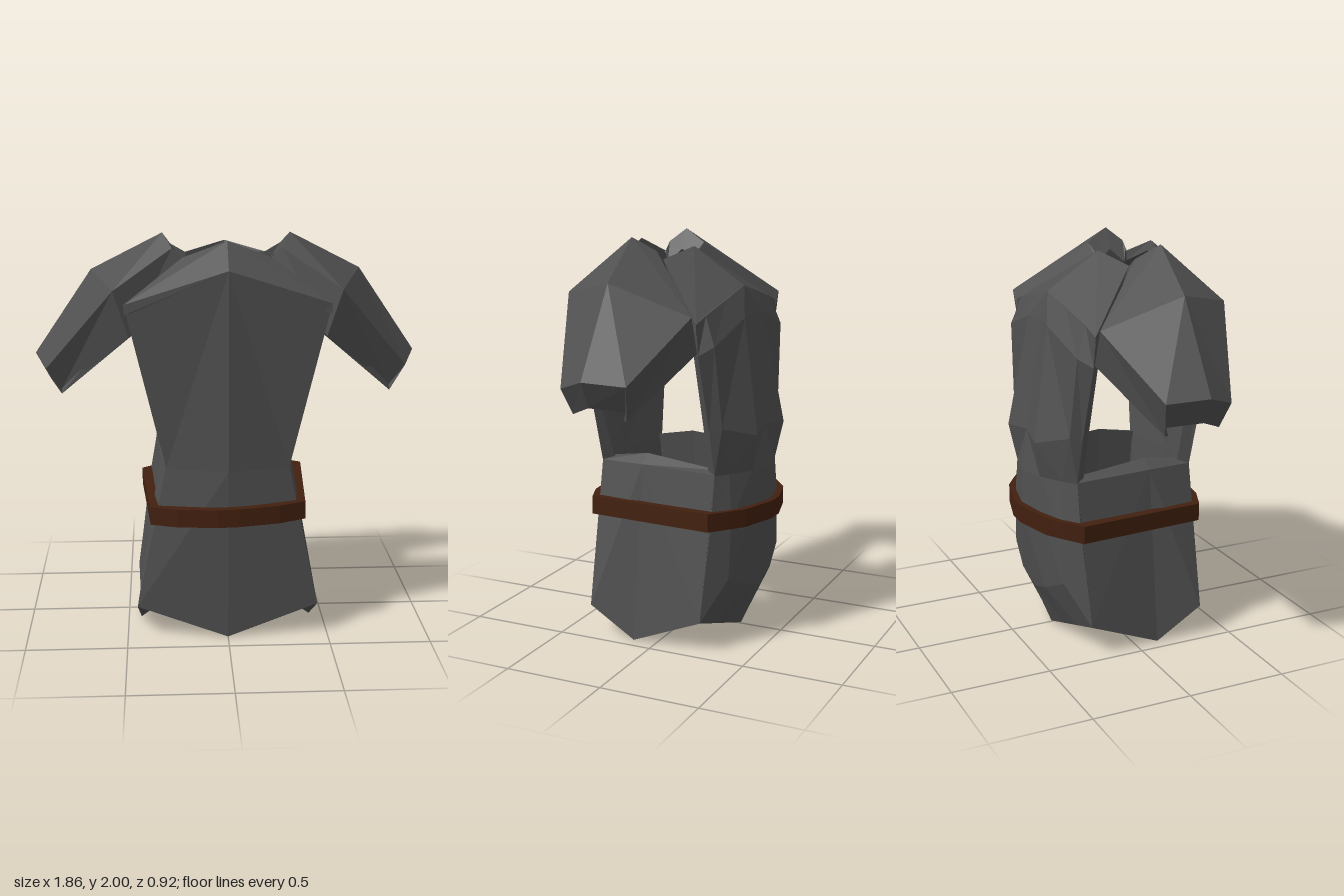
import * as THREE from 'three';

const steel = new THREE.MeshStandardMaterial({ color: 0x505050, flatShading: true, side: THREE.DoubleSide });
const leather = new THREE.MeshStandardMaterial({ color: 0x42200f, flatShading: true });

// Closed plate: a grid of outer points, an inner grid made by a rule, and a rim joining them.
// Rows run top to bottom and columns left to right as seen from outside.
function plate(name, outer, inset) {
  const inner = outer.map((row, i) => row.map((p, j) => inset(p, i, j)));
  const pos = [];
  const quad = (a, b, c, d, flip) => {
    const tris = flip ? [a, b, d, b, c, d] : [a, b, c, a, c, d];
    tris.forEach((p) => pos.push(...p));
  };
  const R = outer.length - 1, C = outer[0].length - 1;
  for (let i = 0; i < R; i++) {
    for (let j = 0; j < C; j++) {
      const flip = j < C / 2;
      quad(outer[i][j], outer[i + 1][j], outer[i + 1][j + 1], outer[i][j + 1], flip);
      quad(inner[i][j + 1], inner[i + 1][j + 1], inner[i + 1][j], inner[i][j], flip);
    }
  }
  // Walk round the border for the rim
  const border = [];
  for (let j = 0; j < C; j++) border.push([0, j]);
  for (let i = 0; i < R; i++) border.push([i, C]);
  for (let j = C; j > 0; j--) border.push([R, j]);
  for (let i = R; i > 0; i--) border.push([i, 0]);
  border.forEach(([i, j], k) => {
    const [m, n] = border[(k + 1) % border.length];
    quad(outer[i][j], outer[m][n], inner[m][n], inner[i][j]);
  });
  const geo = new THREE.BufferGeometry();
  geo.setAttribute('position', new THREE.Float32BufferAttribute(pos, 3));
  geo.computeVertexNormals();
  const mesh = new THREE.Mesh(geo, steel);
  mesh.name = name;
  return mesh;
}

// Full rows from half rows listed centre to +x edge; dir -1 for plates facing back
const mirrorRows = (rows, dir) => rows.map((half) => {
  const left = half.slice(1).reverse().map(([x, y, z]) => [-x, y, z]);
  const row = [...left, ...half];
  return dir < 0 ? row.reverse() : row;
});

export function createModel() {
  const group = new THREE.Group();

  // Breastplate with a shallow centre ridge and narrow waist
  const front = [
    [[0, 1.85, 0.43], [0.49, 1.69, 0.39]],
    [[0, 0.88, 0.43], [0.3, 0.88, 0.355]],
    [[0, 0.005, 0.39], [0.45, 0.16, 0.355]],
  ];
  group.add(plate('breastplate', mirrorRows(front, 1),
    ([x, y, z], i, j) => [x * 0.88, y + (i === 2 && j === 1 ? 0.06 : 0), z - 0.05]));

  // Backplate with two shoulder blade bulges, spine groove and flared seat
  const back = [
    [[0, 1.76, -0.28], [0.2, 1.71, -0.27], [0.4, 1.66, -0.257], [0.49, 1.63, -0.25]],
    [[0, 1.62, -0.315], [0.12, 1.62, -0.335], [0.42, 1.52, -0.31], [0.47, 1.48, -0.25]],
    [[0, 1.08, -0.4], [0.175, 1.06, -0.43], [0.36, 1.12, -0.325], [0.385, 1.1, -0.27]],
    [[0, 0.87, -0.43], [0.15, 0.875, -0.395], [0.28, 0.88, -0.33], [0.345, 0.88, -0.28]],
    [[0, 0.65, -0.435], [0.17, 0.65, -0.4], [0.3, 0.65, -0.35], [0.385, 0.65, -0.28]],
    [[0, 0.23, -0.37], [0.15, 0.28, -0.375], [0.32, 0.36, -0.345], [0.425, 0.34, -0.26]],
    [[0, 0.01, -0.28], [0.15, 0.06, -0.27], [0.3, 0.11, -0.26], [0.45, 0.16, -0.25]],
  ];
  group.add(plate('backplate', mirrorRows(back, -1),
    ([x, y, z], i) => [x * 0.88, y + (i === 6 ? 0.06 * (1 - Math.abs(x) / 0.45) : 0), Math.max(z + 0.05, -0.34)]));

  // Sloping collar plates between the chest, the neck opening and the back
  const thin = ([x, y, z]) => [x, y - 0.05, x === 0 ? 0.12 + (z - 0.12) * 0.88 : z];
  const collarFront = [
    [[0, 1.97, 0.28], [0.21, 1.89, 0.25]],
    [[0, 1.85, 0.43], [0.49, 1.69, 0.39]],
  ];
  const collarBack = [
    [[0, 1.94, -0.01], [0.2, 1.89, 0.06]],
    [[0, 1.76, -0.28], [0.49, 1.63, -0.25]],
  ];
  group.add(plate('frontCollar', mirrorRows(collarFront, 1), thin));
  group.add(plate('backCollar', mirrorRows(collarBack, -1), thin));

  // Hip plates close the waist below the arm openings
  const hip = [
    [[0.3, 0.885, 0.355], [0.325, 0.89, 0.12], [0.345, 0.885, -0.28]],
    [[0.45, 0.16, 0.355], [0.435, 0.005, 0.12], [0.45, 0.16, -0.25]],
  ];
  const hipInset = ([x, y, z], i, j) => [x - 0.06, y + (j === 1 ? 0.045 : 0.01), z];

  // Shoulder guards: neck, shoulder and arm rows, each from front edge over the ridge to back edge
  const shoulder = [
    [[0.21, 1.89, 0.25], [0.26, 1.935, 0.25], [0.305, 2, 0.175], [0.27, 1.935, 0.06], [0.2, 1.89, 0.06]],
    [[0.47, 1.53, 0.37], [0.54, 1.755, 0.39], [0.65, 1.82, 0.12], [0.54, 1.67, -0.25], [0.46, 1.49, -0.24]],
    [[0.8, 1.25, 0.21], [0.87, 1.36, 0.25], [0.93, 1.41, 0.11], [0.88, 1.395, -0.09], [0.8, 1.22, -0.05]],
  ];
  // The sleeve end has a deeper lip than the rest of the guard
  const shoulderInset = ([x, y, z], i, j) => {
    const low = j === 0 || j === 4;
    const drop = low ? 0 : i === 2 ? 0.13 : 0.1;
    return [x - (low ? 0.01 : 0.07), y - drop, 0.13 + (z - 0.13) * (low ? 0.88 : 0.82)];
  };
  for (const [side, s] of [['left', 1], ['right', -1]]) {
    const hipPlate = plate(side + 'HipPlate', hip, hipInset);
    const guard = plate(side + 'ShoulderGuard', shoulder, shoulderInset);
    hipPlate.scale.x = guard.scale.x = s;
    group.add(hipPlate, guard);
  }

  // Slightly tilted leather belt
  const half = [[0.05, 0.462], [0.25, 0.43], [0.38, 0.375], [0.425, -0.28],
    [0.33, -0.35], [0.25, -0.405], [0.05, -0.46]];
  const loop = [...half, ...half.map(([x, z]) => [-x, z]).reverse()];
  const points = (k) => loop.map(([x, z]) => new THREE.Vector2(x * k, -z * k));
  const shape = new THREE.Shape(points(1));
  shape.holes.push(new THREE.Path(points(0.87)));
  const beltGeo = new THREE.ExtrudeGeometry(shape, { depth: 0.09, bevelEnabled: false });
  beltGeo.rotateX(-Math.PI / 2).translate(0, -0.045, 0);
  const belt = new THREE.Mesh(beltGeo, leather);
  belt.name = 'belt';
  belt.position.y = 0.655;
  belt.rotation.z = 0.025;
  group.add(belt);

  return group;
}
